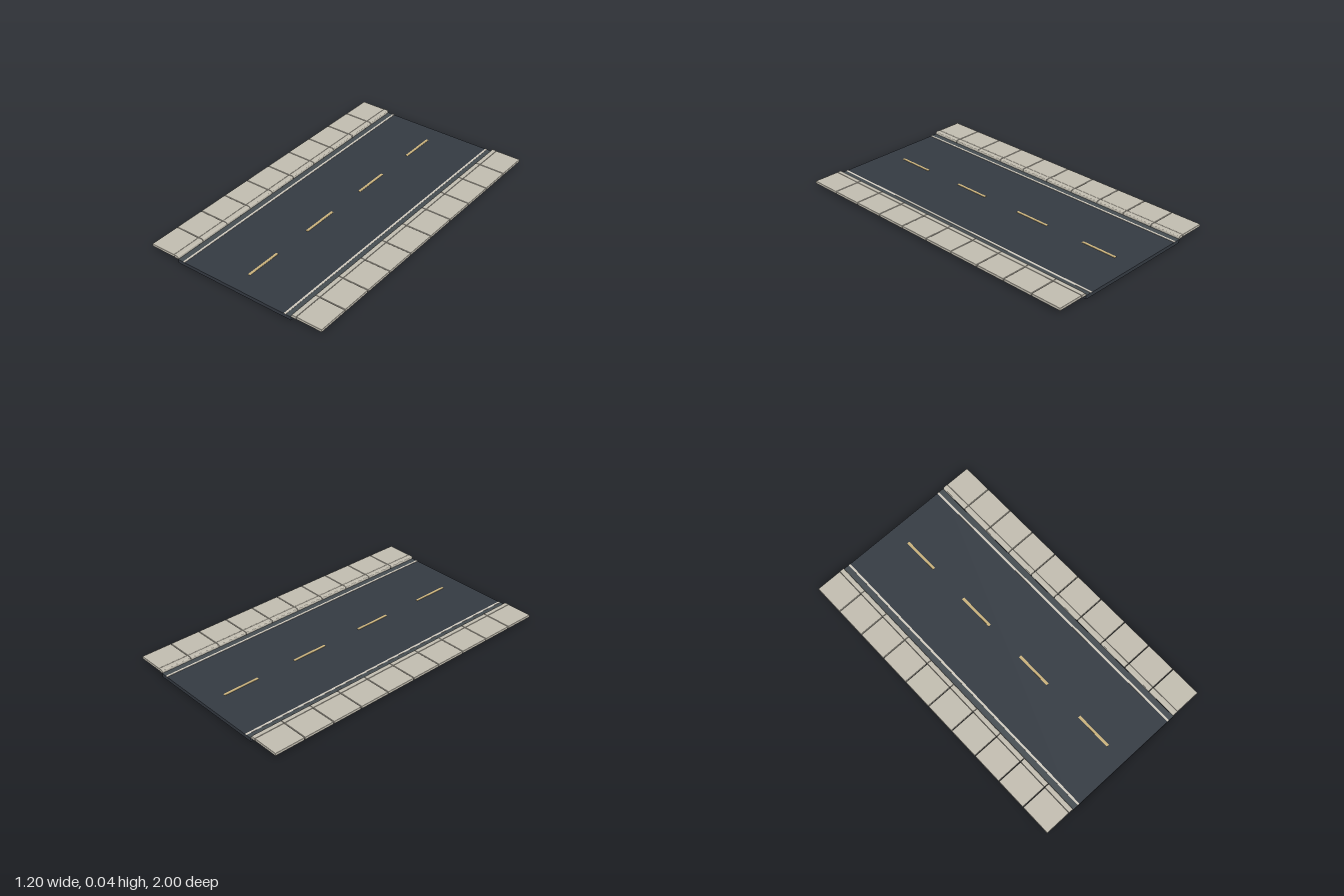
import * as THREE from 'three';
import { RoundedBoxGeometry } from 'three/addons/geometries/RoundedBoxGeometry.js';

const LENGTH = 2, ROAD_TOP = 0.022, WALK_TOP = 0.039;
const SLABS = 10, PITCH = LENGTH / SLABS, JOINT = 0.004;

const paint = (color) => new THREE.MeshStandardMaterial({ color });

function add(parent, name, geometry, material, x, y, z) {
  const mesh = new THREE.Mesh(geometry, material);
  mesh.name = name;
  mesh.position.set(x, y, z);
  parent.add(mesh);
  return mesh;
}

// Kerb stone running along z, with its road-side top corner rounded
function kerbGeometry(side) {
  const x0 = 0.401, x1 = 0.432, r = 0.01;
  const s = new THREE.Shape();
  s.moveTo(side * x0, ROAD_TOP);
  s.lineTo(side * x1, ROAD_TOP);
  s.lineTo(side * x1, WALK_TOP);
  s.lineTo(side * (x0 + r), WALK_TOP);
  s.quadraticCurveTo(side * x0, WALK_TOP, side * x0, WALK_TOP - r);
  s.closePath();
  const depth = PITCH - JOINT;
  const g = new THREE.ExtrudeGeometry(s, { depth, bevelEnabled: false, curveSegments: 6 });
  return g.translate(0, 0, -depth / 2);
}

export function createModel() {
  const model = new THREE.Group();
  model.name = 'roadSection';

  const asphalt = paint(0x343a42);
  const gutterGrey = paint(0x454c51);
  const white = paint(0xcfc9bd);
  const yellow = paint(0xc8b07a);
  const concrete = paint(0xc1bcaf);

  // Road bed
  add(model, 'roadBed', new THREE.BoxGeometry(0.8, ROAD_TOP, LENGTH), asphalt, 0, ROAD_TOP / 2, 0);

  // Dashed centre line
  const dash = new THREE.BoxGeometry(0.016, 0.002, 0.236);
  for (const z of [-0.75, -0.25, 0.25, 0.75]) {
    add(model, 'centreDash', dash, yellow, 0, ROAD_TOP + 0.001, z);
  }

  const gutter = new THREE.BoxGeometry(0.035, 0.001, LENGTH);
  const edgeLine = new THREE.BoxGeometry(0.013, 0.002, LENGTH);
  const slab = new RoundedBoxGeometry(0.166, WALK_TOP - ROAD_TOP, PITCH - JOINT, 2, 0.003);

  for (const side of [1, -1]) {
    const label = side > 0 ? 'left' : 'right';

    // Gutter strip and painted edge line
    add(model, label + 'Gutter', gutter, gutterGrey, side * 0.3825, ROAD_TOP + 0.0005, 0);
    add(model, label + 'EdgeLine', edgeLine, white, side * 0.3585, ROAD_TOP + 0.001, 0);

    // Kerb stones and paving slabs
    const pavement = new THREE.Group();
    pavement.name = label + 'Pavement';
    const kerb = kerbGeometry(side);
    for (let i = 0; i < SLABS; i++) {
      const z = -LENGTH / 2 + (i + 0.5) * PITCH;
      add(pavement, 'kerbStone', kerb, concrete, 0, 0, z);
      add(pavement, 'pavingSlab', slab, concrete, side * 0.517, (ROAD_TOP + WALK_TOP) / 2, z);
    }
    model.add(pavement);
  }
  return model;
}
